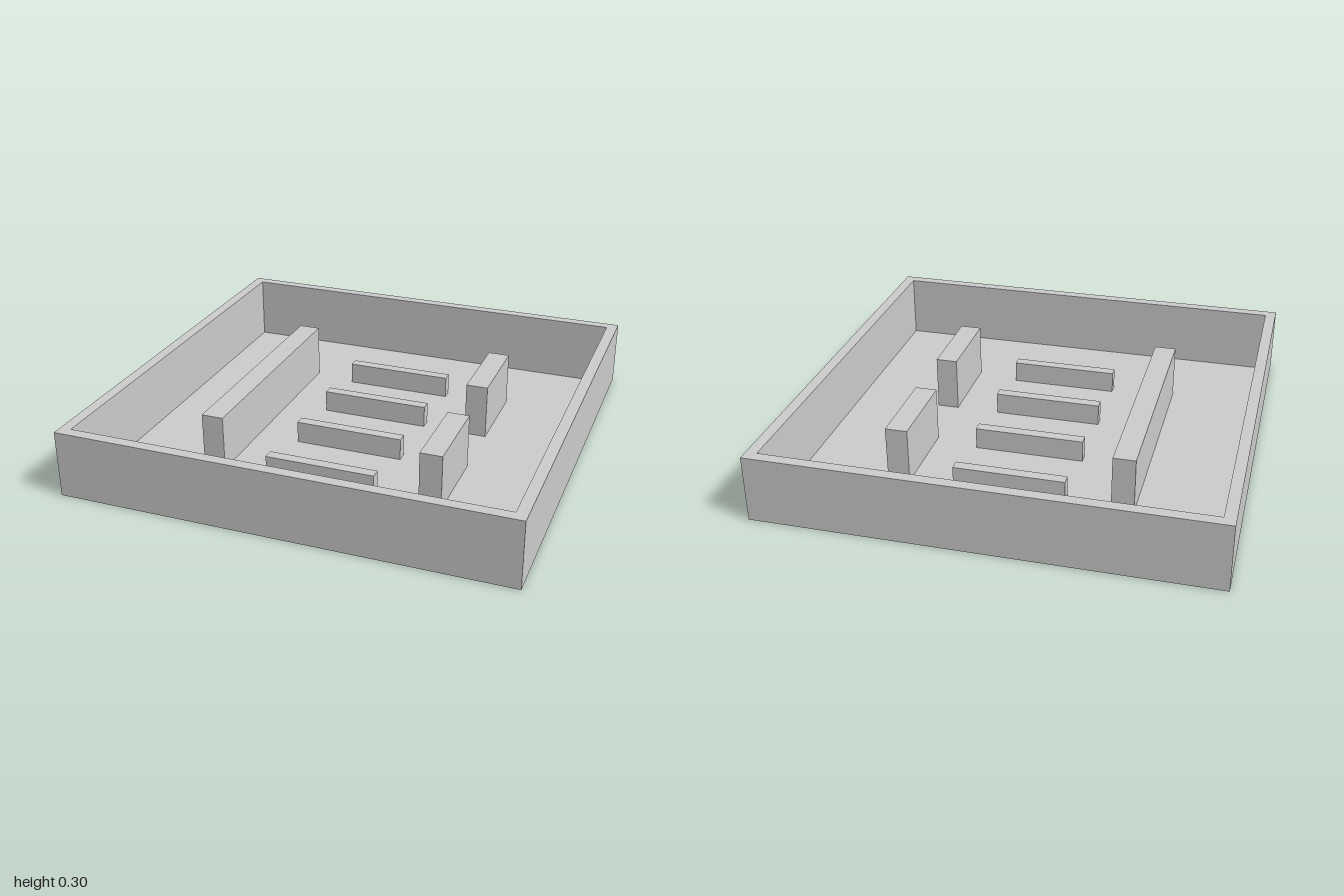
import * as THREE from 'three';

const OUTER = 1, INNER = 0.95, WALL_HEIGHT = 0.3;

// name, centre x, centre z, width, depth, height of each hollow block
const BLOCKS = [['longBlock', -0.5, 0, 0.1, 1.1, 0.25]];
for (const s of [-1, 1]) {
  BLOCKS.push(['shortBlock', 0.5, s * 0.35, 0.1, 0.4, 0.25]);
  BLOCKS.push(['innerBar', 0, s * 0.175, 0.5, 0.05, 0.1]);
  BLOCKS.push(['outerBar', 0, s * 0.525, 0.5, 0.05, 0.1]);
}

function rectangle(Type, cx, cy, w, h) {
  const x = w / 2, y = h / 2;
  return new Type([[-x, -y], [x, -y], [x, y], [-x, y]].map(([a, b]) => new THREE.Vector2(cx + a, cy + b)));
}

// Box standing on y = 0 without its bottom face
function openBox(w, h, d) {
  const g = new THREE.BoxGeometry(w, h, d).translate(0, h / 2, 0);
  const index = Array.from(g.index.array);
  index.splice(18, 6);
  g.setIndex(index);
  g.clearGroups();
  return g;
}

export function createModel() {
  const model = new THREE.Group();
  model.name = 'tray';
  const solid = new THREE.MeshStandardMaterial({ color: 0xcccccc });
  const thin = new THREE.MeshStandardMaterial({ color: 0xcccccc, side: THREE.DoubleSide });

  const add = (name, geometry, material) => {
    const mesh = new THREE.Mesh(geometry, material);
    mesh.name = name;
    model.add(mesh);
    return mesh;
  };

  // Rim wall: a square frame extruded upward
  const frame = rectangle(THREE.Shape, 0, 0, 2 * OUTER, 2 * OUTER);
  frame.holes.push(rectangle(THREE.Path, 0, 0, 2 * INNER, 2 * INNER));
  const wall = new THREE.ExtrudeGeometry(frame, { depth: WALL_HEIGHT, bevelEnabled: false });
  add('rimWall', wall.rotateX(-Math.PI / 2), solid);

  // Thin floor, open underneath every block
  const floor = rectangle(THREE.Shape, 0, 0, 2 * INNER, 2 * INNER);
  for (const [, x, z, w, d] of BLOCKS) floor.holes.push(rectangle(THREE.Path, x, -z, w, d));
  add('floor', new THREE.ShapeGeometry(floor).rotateX(-Math.PI / 2), thin);

  // Hollow blocks and bars rising from the floor
  for (const [name, x, z, w, d, h] of BLOCKS) {
    add(name, openBox(w, h, d), thin).position.set(x, 0, z);
  }
  return model;
}
